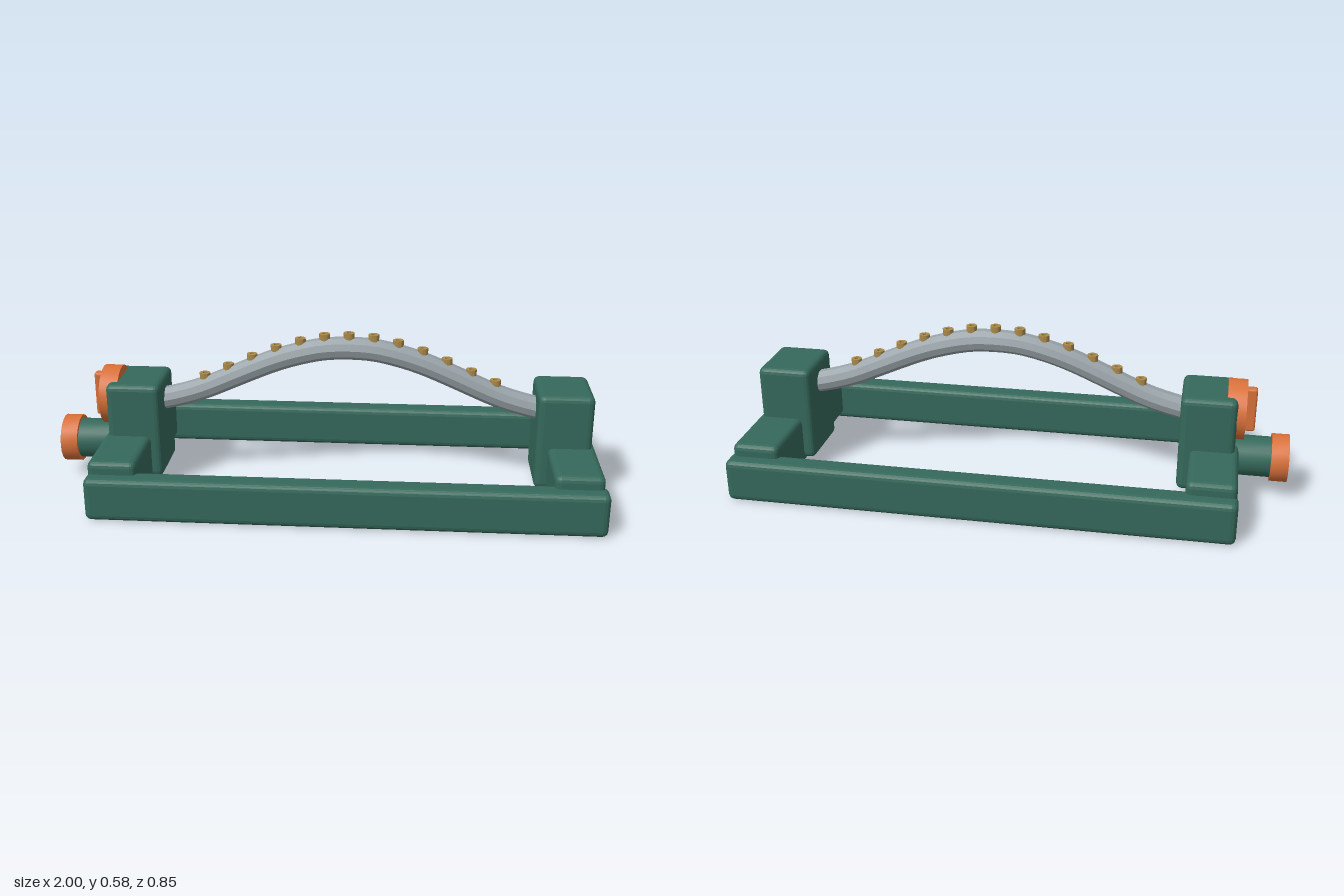
import * as THREE from 'three';
import { RoundedBoxGeometry } from 'three/addons/geometries/RoundedBoxGeometry.js';
import { toCreasedNormals } from 'three/addons/utils/BufferGeometryUtils.js';

const mat = (name, color) => {
  const m = new THREE.MeshStandardMaterial({ color });
  m.name = name;
  return m;
};

export function createModel() {
  const green = mat('greenPlastic', 0x35695b);
  const orange = mat('orangePlastic', 0xd9713a);
  const metal = mat('greyMetal', 0x9aa4a9);
  const brass = mat('brass', 0xab8b4b);

  const model = new THREE.Group();
  model.name = 'oscillatingSprinkler';

  const add = (name, geometry, material, x = 0, y = 0, z = 0, parent = model) => {
    const mesh = new THREE.Mesh(geometry, material);
    mesh.name = name;
    mesh.position.set(x, y, z);
    parent.add(mesh);
    return mesh;
  };

  // Bevelled box given by its lower and upper limits
  const block = (name, x0, x1, y0, y1, z0, z1, r = 0.022, material = green) => {
    const g = new RoundedBoxGeometry(x1 - x0, y1 - y0, z1 - z0, 2, r);
    g.computeVertexNormals();
    return add(name, g, material, (x0 + x1) / 2, (y0 + y1) / 2, (z0 + z1) / 2);
  };

  // Hollow cylinder along y, from y = 0 to y = h
  const sleeve = (outer, inner, h, sides) => toCreasedNormals(new THREE.LatheGeometry(
    [[inner, 0], [outer, 0], [outer, h], [inner, h], [inner, 0]].map(p => new THREE.Vector2(...p)), sides), 0.6);

  // Base: two long rails, two cross beams and two posts
  block('frontRail', -0.825, 1, 0, 0.158, 0.335, 0.426);
  block('backRail', -0.825, 1, 0, 0.158, -0.426, -0.335);
  block('inletBeam', -0.82, -0.645, 0.02, 0.203, -0.375, 0.375);
  block('farBeam', 0.812, 0.985, 0.02, 0.203, -0.375, 0.375);
  block('inletPost', -0.805, -0.605, 0.04, 0.4, -0.124, 0.124);
  block('farPost', 0.77, 0.97, 0.04, 0.4, -0.124, 0.124);

  // Arched spray tube, symmetric about its middle
  const mid = 0.083;
  const half = [[0, 0.526], [0.09, 0.521], [0.18, 0.502], [0.27, 0.474], [0.36, 0.437],
    [0.448, 0.398], [0.538, 0.359], [0.61, 0.335], [0.69, 0.315], [0.73, 0.309]];
  const path = [...half.slice(1).reverse().map(([d, y]) => [-d, y]), ...half]
    .map(([d, y]) => new THREE.Vector3(mid + d, y, 0));
  const curve = new THREE.CatmullRomCurve3(path);
  const tube = new THREE.TubeGeometry(curve, 40, 0.042, 10).toNonIndexed();
  tube.computeVertexNormals();
  add('sprayTube', toCreasedNormals(tube, 0.35), metal);

  // Row of upright nozzles
  const nozzles = new THREE.Group();
  nozzles.name = 'nozzles';
  model.add(nozzles);
  const nozzleGeo = sleeve(0.02, 0.009, 0.045, 12);
  for (let i = -6; i <= 6; i++) {
    const d = Math.abs(i) * 0.0896;
    const k = half.findIndex(p => p[0] >= d);
    const a = half[Math.max(k - 1, 0)], b = half[k];
    const t = k > 0 ? (d - a[0]) / (b[0] - a[0]) : 0;
    const y = a[1] + (b[1] - a[1]) * t;
    add('nozzle', nozzleGeo, brass, mid + i * 0.0896, y + 0.014, 0, nozzles);
  }

  // Control dial with its grip
  const dial = toCreasedNormals(new THREE.CylinderGeometry(0.11, 0.11, 0.068, 24), 0.6);
  add('dial', dial.rotateZ(Math.PI / 2), orange, -0.801, 0.325, 0);
  block('dialGrip', -0.872, -0.825, 0.245, 0.41, -0.018, 0.018, 0.008, orange);

  // Hose inlet pipe and threaded collar
  add('inletPipe', sleeve(0.075, 0.052, 0.19, 20).rotateZ(Math.PI / 2), green, -0.79, 0.142, 0);
  add('inletCollar', sleeve(0.088, 0.056, 0.063, 20).rotateZ(Math.PI / 2), orange, -0.937, 0.142, 0);

  return model;
}
